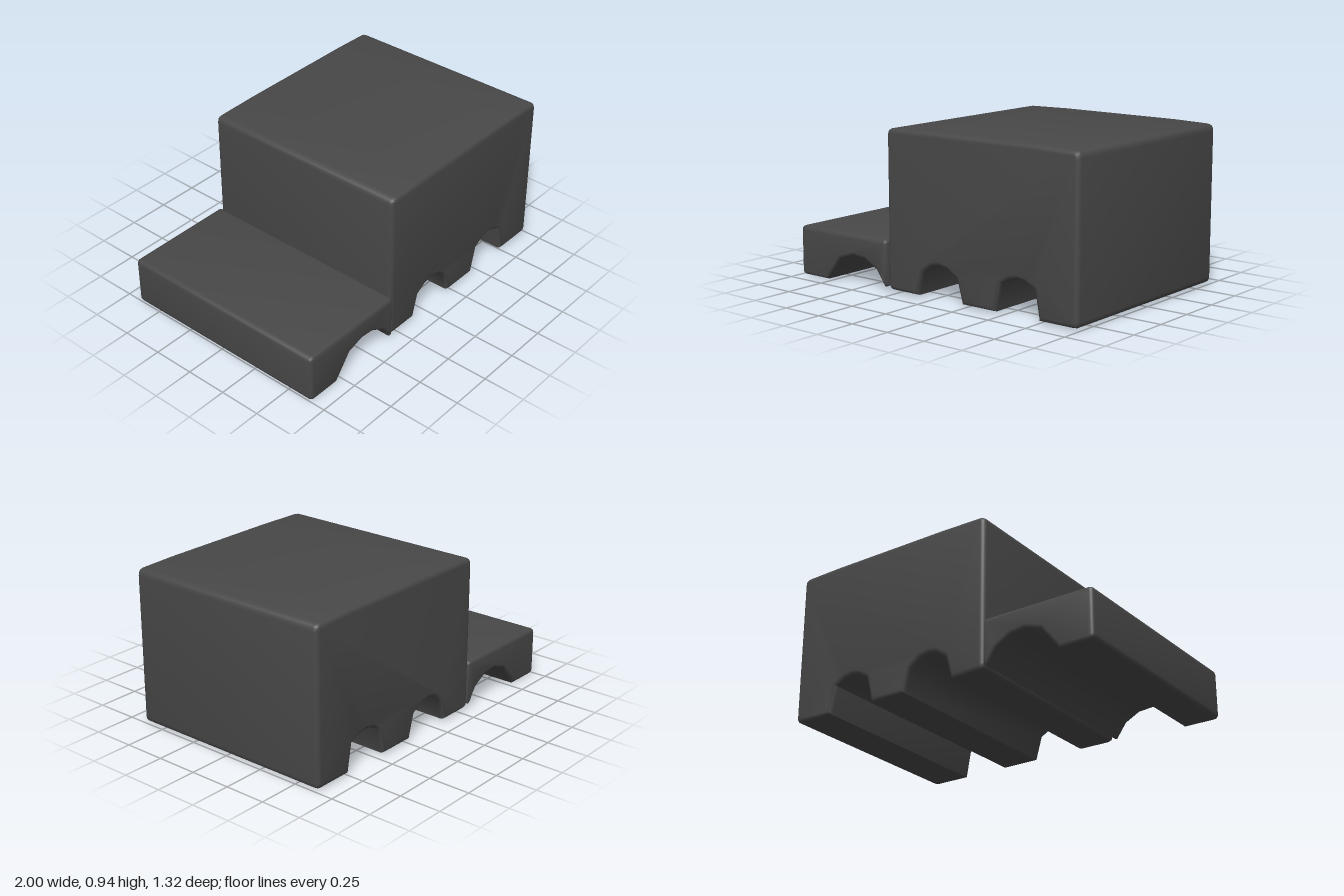
import * as THREE from 'three';
import { toCreasedNormals } from 'three/addons/utils/BufferGeometryUtils.js';

const material = new THREE.MeshStandardMaterial({ color: 0x484848 });

// Outline with rounded corners wherever a point carries a radius: [x, y, radius]
function roundedShape(points) {
  const shape = new THREE.Shape();
  const n = points.length;
  points.forEach(([x, y, r], i) => {
    const toward = ([px, py]) => {
      const k = r / Math.hypot(px - x, py - y);
      return [x + (px - x) * k, y + (py - y) * k];
    };
    const line = (px, py) => (i ? shape.lineTo(px, py) : shape.moveTo(px, py));
    if (r) {
      line(...toward(points[(i + n - 1) % n]));
      shape.quadraticCurveTo(x, y, ...toward(points[(i + 1) % n]));
    } else line(x, y);
  });
  shape.closePath();
  return shape;
}

// Block running from zBack to zFront with softened ends
function block(name, points, zBack, zFront, bevel) {
  const geometry = new THREE.ExtrudeGeometry(roundedShape(points), {
    depth: zFront - zBack - 2 * bevel,
    bevelThickness: bevel,
    bevelSize: bevel,
    bevelOffset: -bevel,
    bevelSegments: 3,
    curveSegments: 4,
  });
  geometry.translate(0, 0, zBack + bevel);
  const mesh = new THREE.Mesh(toCreasedNormals(geometry, 0.85), material);
  mesh.name = name;
  return mesh;
}

export function createModel() {
  const group = new THREE.Group();
  group.name = 'steppedBlock';

  // Tall block with two arched tunnels through its underside
  group.add(block('tallBlock', [
    [-0.32, 0.015, 0.035],
    [-0.1, 0.015], [-0.06, 0.155], [0, 0.193], [0.05, 0.205], [0.11, 0.195], [0.18, 0.155], [0.22, 0.015],
    [0.45, 0.015], [0.49, 0.175], [0.55, 0.207], [0.6, 0.217], [0.65, 0.21], [0.715, 0.18], [0.745, 0.015],
    [1, 0.015, 0.035],
    [1, 0.934, 0.04], [0.75, 0.94], [-0.02, 0.94], [-0.32, 0.934, 0.04],
  ], -0.655, 0.64, 0.025));

  // Low step with one wide tunnel
  group.add(block('lowStep', [
    [-1, 0.005, 0.03],
    [-0.79, 0.005], [-0.68, 0.145], [-0.58, 0.175], [-0.49, 0.167], [-0.4, 0.12], [-0.335, 0.03],
    [-0.318, 0.04], [-0.318, 0.3, 0.025], [-1, 0.3, 0.03],
  ], -0.66, 0.66, 0.02));

  return group;
}
